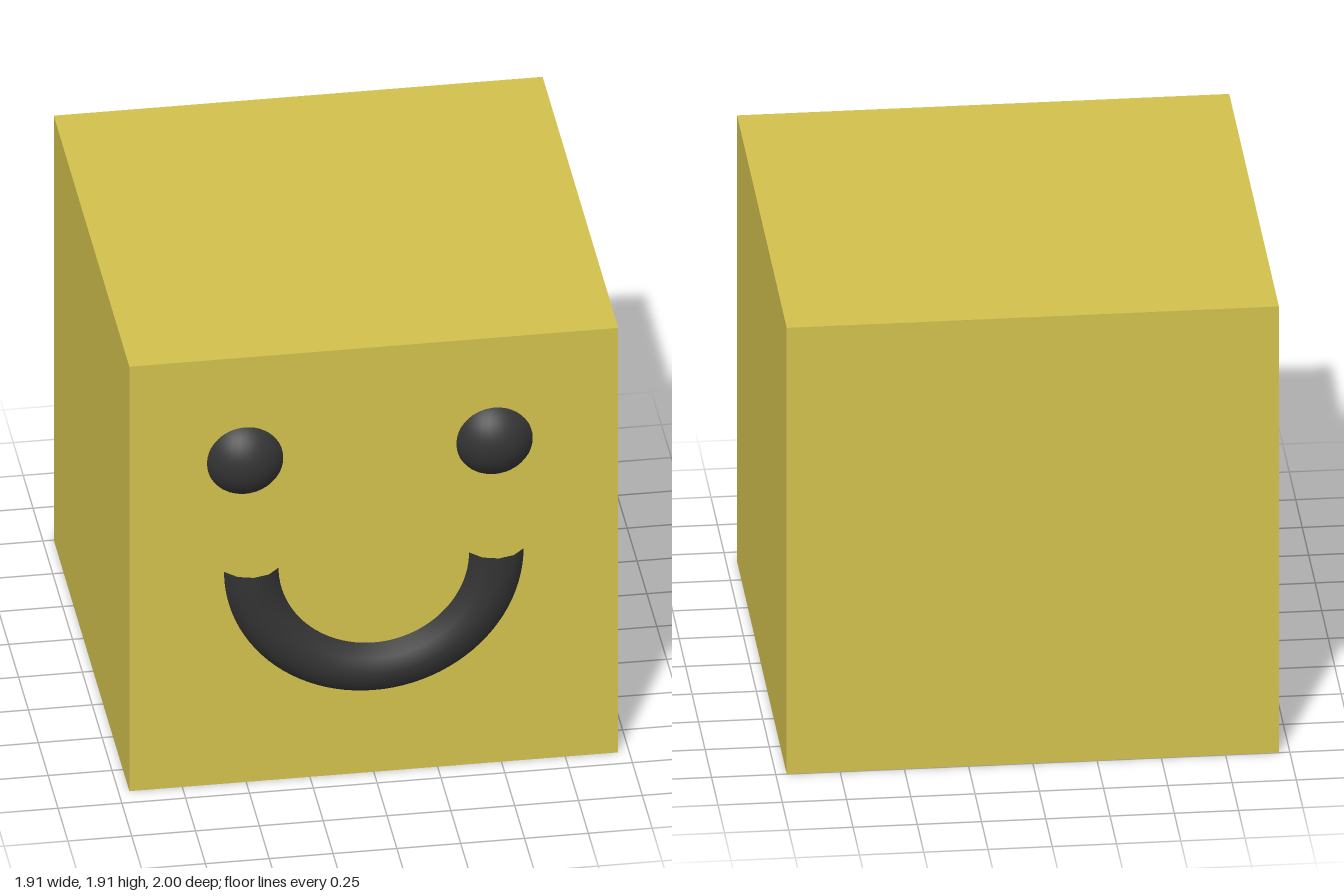
import * as THREE from 'three';

export function createModel() {
  const model = new THREE.Group();
  model.name = 'smilingCube';
  const yellow = new THREE.MeshStandardMaterial({ color: 0xd1c04d });
  const black = new THREE.MeshStandardMaterial({ color: 0x333333, side: THREE.DoubleSide });

  const add = (name, geometry, material, x, y, z) => {
    const mesh = new THREE.Mesh(geometry, material);
    mesh.name = name;
    mesh.position.set(x, y, z);
    model.add(mesh);
    return mesh;
  };

  // Cube body, its front face at z = 0.915
  const size = 1.915;
  add('body', new THREE.BoxGeometry(size, size, size), yellow, 0, size / 2, -0.0425);

  // Eyes: balls sunk into the front face, slightly off centre
  const eye = new THREE.SphereGeometry(0.175, 32, 24);
  add('rightEye', eye, black, -0.504, 1.45, 0.825);
  add('leftEye', eye, black, 0.473, 1.45, 0.825);

  // Smile: open half ring sunk into the front face
  const smile = new THREE.TorusGeometry(0.48, 0.122, 12, 48, Math.PI);
  add('smile', smile, black, 0, 0.957, 0.858).rotation.z = Math.PI;

  return model;
}
